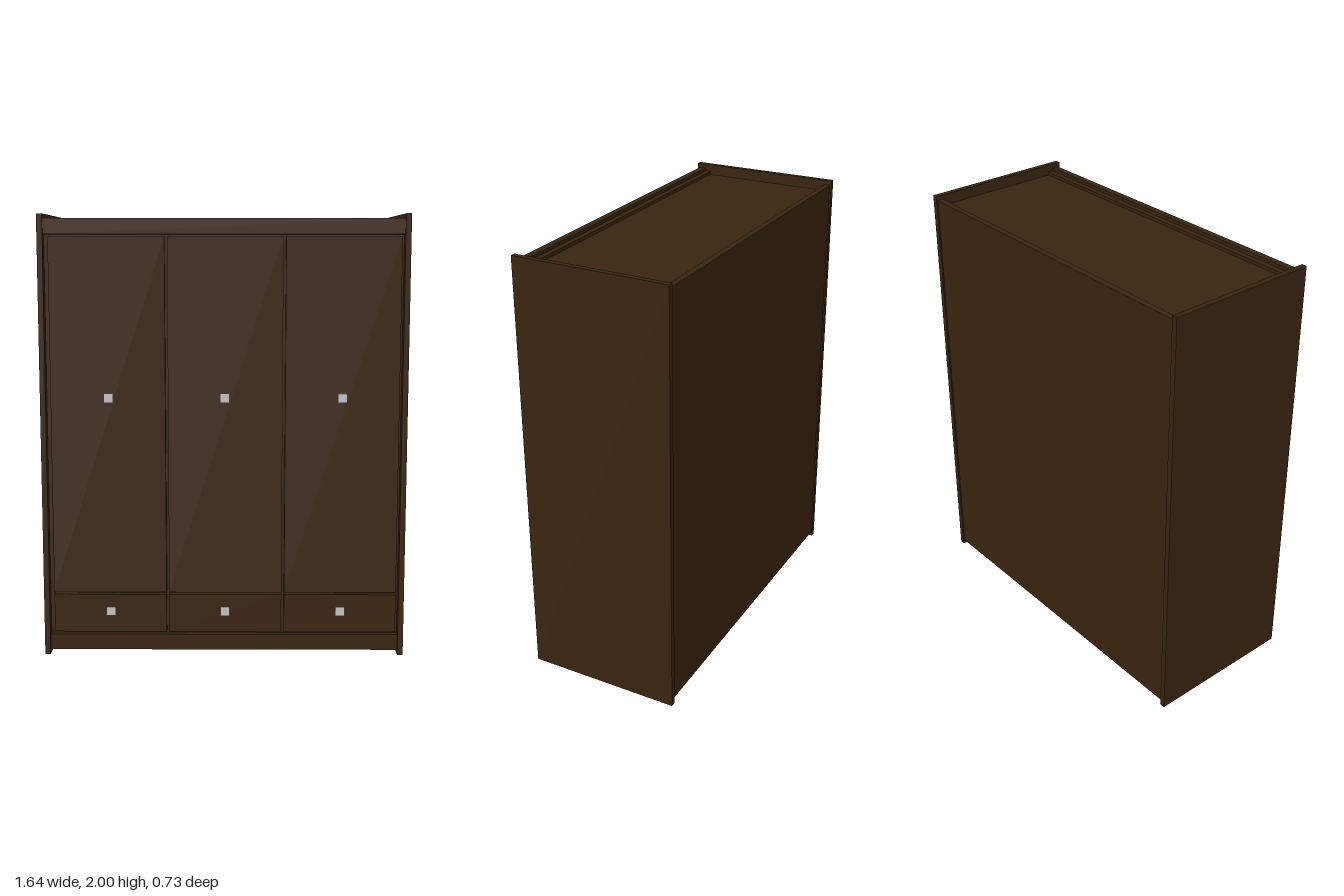
import * as THREE from 'three';

const wood = new THREE.MeshStandardMaterial({ color: 0x3a2510 });
wood.name = 'darkWood';
const metal = new THREE.MeshStandardMaterial({ color: 0xc4c4c4 });
metal.name = 'brushedMetal';

// Box given by its minimum and maximum on each axis
function board(parent, name, [x0, x1], [y0, y1], [z0, z1], material = wood) {
  const mesh = new THREE.Mesh(new THREE.BoxGeometry(x1 - x0, y1 - y0, z1 - z0), material);
  mesh.position.set((x0 + x1) / 2, (y0 + y1) / 2, (z0 + z1) / 2);
  mesh.name = name;
  parent.add(mesh);
  return mesh;
}

// Square knob: base plate, short stem and front plate
function handle(parent, x, y) {
  const group = new THREE.Group();
  group.name = 'handle';
  const square = (name, half, z) =>
    board(group, name, [-half, half], [-half, half], z, metal);
  square('handleBase', 0.011, [0.345, 0.348]);
  square('handleStem', 0.006, [0.348, 0.36]);
  square('handlePlate', 0.021, [0.36, 0.366]);
  group.position.set(x, y, 0);
  parent.add(group);
}

export function createModel() {
  const wardrobe = new THREE.Group();
  wardrobe.name = 'wardrobe';
  const inner = [-0.797, 0.797];

  // Carcass
  board(wardrobe, 'leftSide', [0.797, 0.822], [0, 2], [-0.365, 0.356]);
  board(wardrobe, 'rightSide', [-0.822, -0.797], [0, 2], [-0.365, 0.356]);
  board(wardrobe, 'backPanel', inner, [0.02, 1.98], [-0.358, -0.33]);
  board(wardrobe, 'topPanel', inner, [1.925, 1.95], [-0.33, 0.313]);
  board(wardrobe, 'bottomPanel', inner, [0.03, 0.055], [-0.33, 0.313]);
  board(wardrobe, 'topRail', inner, [1.91, 1.98], [0.313, 0.345]);
  board(wardrobe, 'plinth', inner, [0.02, 0.092], [0.313, 0.345]);

  // Frame seen through the gaps around the doors
  board(wardrobe, 'frameTop', inner, [1.88, 1.965], [0.287, 0.313]);
  board(wardrobe, 'frameMiddle', inner, [0.26, 0.31], [0.287, 0.313]);
  board(wardrobe, 'frameBottom', inner, [0.055, 0.13], [0.287, 0.313]);
  for (const x of [-0.782, -0.256, 0.269, 0.782]) {
    board(wardrobe, 'framePost', [x - 0.015, x + 0.015], [0.055, 1.925], [0.287, 0.313]);
  }

  // Three bays, each a tall door above a drawer
  const bays = [
    { span: [-0.776, -0.262], knob: -0.515 },
    { span: [-0.25, 0.263], knob: 0.005 },
    { span: [0.275, 0.786], knob: 0.53 },
  ];
  for (const { span, knob } of bays) {
    board(wardrobe, 'door', span, [0.291, 1.9], [0.313, 0.345]);
    board(wardrobe, 'drawerFront', span, [0.105, 0.281], [0.313, 0.345]);
    handle(wardrobe, knob, 1.187);
    handle(wardrobe, knob, 0.207);
  }
  return wardrobe;
}
